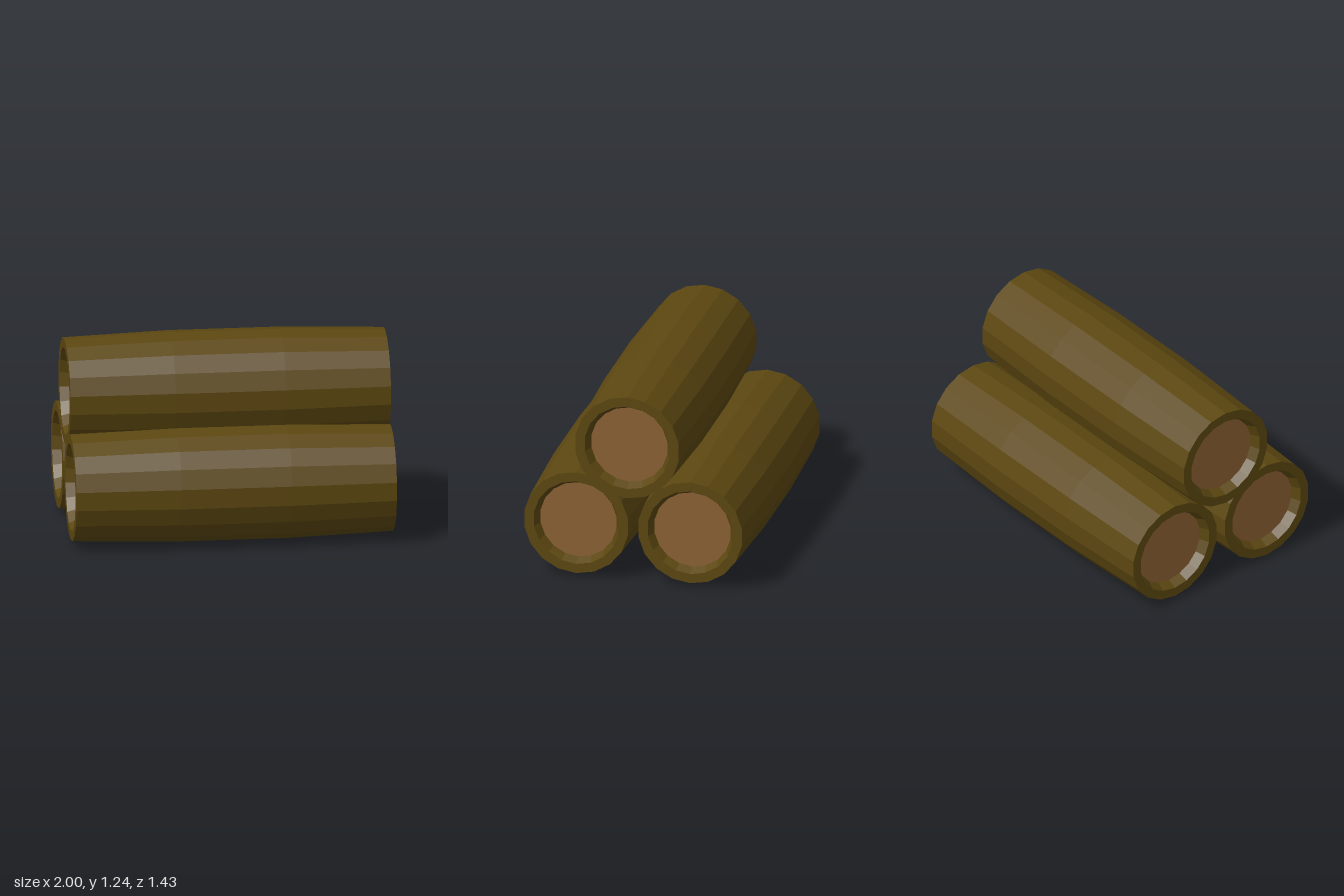
import * as THREE from 'three';

const SIDES = 18;
const CUT_RADIUS = 0.246; // recessed wood face
const CUT_X = 0.94;

export function createModel() {
  const bark = new THREE.MeshStandardMaterial({ color: 0x5c4710, flatShading: true });
  bark.name = 'bark';
  const wood = new THREE.MeshStandardMaterial({ color: 0x8a6033, flatShading: true });
  wood.name = 'cut wood';

  // Bark shell: recessed lip, end rim, then a slight bulge towards the middle
  const half = [[CUT_RADIUS, CUT_X], [0.274, 1], [0.335, 1], [0.358, 0.345]];
  const profile = [
    ...half.map(([r, x]) => new THREE.Vector2(r, -x)),
    ...half.slice().reverse().map(([r, x]) => new THREE.Vector2(r, x)),
  ];
  const shell = new THREE.LatheGeometry(profile, SIDES, Math.PI / 2);
  shell.rotateZ(-Math.PI / 2);

  const disc = new THREE.CircleGeometry(CUT_RADIUS, SIDES, Math.PI / 2);

  function makeLog(name, y, z) {
    const log = new THREE.Group();
    log.name = name;
    const barkMesh = new THREE.Mesh(shell, bark);
    barkMesh.name = 'barkShell';
    log.add(barkMesh);
    // Wood face at each end
    for (const side of [-1, 1]) {
      const face = new THREE.Mesh(disc, wood);
      face.name = side > 0 ? 'leftCutFace' : 'rightCutFace';
      face.rotation.y = side * Math.PI / 2;
      face.position.x = side * CUT_X;
      log.add(face);
    }
    log.position.set(0, y, z);
    return log;
  }

  const model = new THREE.Group();
  model.name = 'logPile';
  model.add(
    makeLog('frontLog', 0.358, 0.364),
    makeLog('backLog', 0.358, -0.364),
    makeLog('topLog', 0.885, 0.039),
  );
  return model;
}
